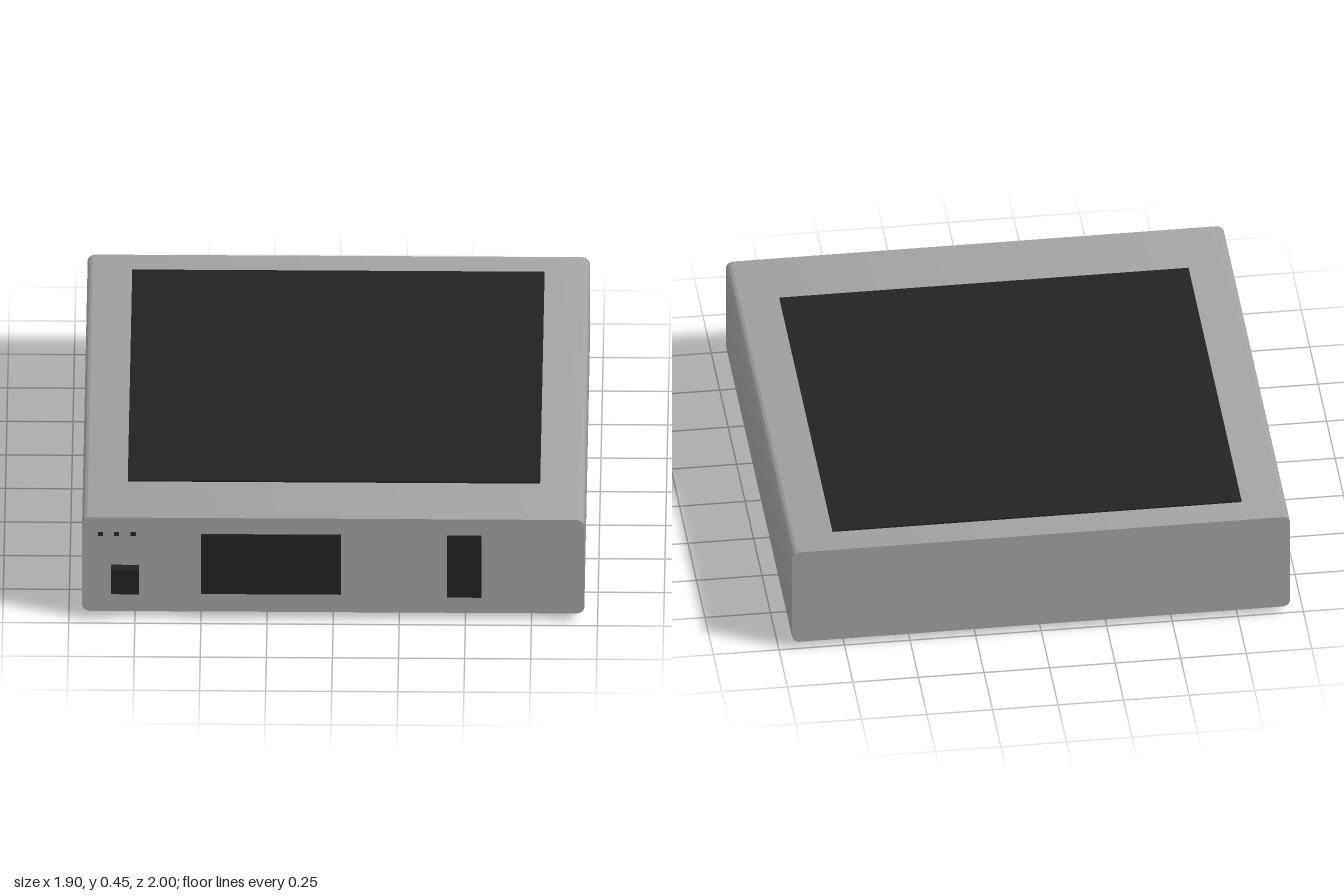
import * as THREE from 'three';
import { toCreasedNormals } from 'three/addons/utils/BufferGeometryUtils.js';

const casing = new THREE.MeshStandardMaterial({ color: 0xa0a1a2 });
casing.name = 'grey casing';
const black = new THREE.MeshStandardMaterial({ color: 0x222222 });
black.name = 'black trim';

const BACK = -1, FRONT = 0.96, BOTTOM = 0.03, TOP = 0.44, HALF = 0.95;

export function createModel() {
  const model = new THREE.Group();
  model.name = 'desktopUnit';

  const add = (name, geometry, material, x = 0, y = 0, z = 0) => {
    const mesh = new THREE.Mesh(geometry, material);
    mesh.name = name;
    mesh.position.set(x, y, z);
    model.add(mesh);
    return mesh;
  };

  // Box given by its extents
  const block = (name, x0, x1, y0, y1, z0, z1) =>
    add(name, new THREE.BoxGeometry(x1 - x0, y1 - y0, z1 - z0), black,
      (x0 + x1) / 2, (y0 + y1) / 2, (z0 + z1) / 2);

  // Casing: rounded cross-section running front to back
  const r = 0.03;
  const s = new THREE.Shape();
  s.moveTo(-HALF + r, BOTTOM);
  s.absarc(HALF - r, BOTTOM + r, r, -Math.PI / 2, 0);
  s.absarc(HALF - r, TOP - r, r, 0, Math.PI / 2);
  s.absarc(-HALF + r, TOP - r, r, Math.PI / 2, Math.PI);
  s.absarc(-HALF + r, BOTTOM + r, r, Math.PI, Math.PI * 1.5);
  const body = new THREE.ExtrudeGeometry(s, {
    depth: FRONT - BACK, bevelEnabled: false, curveSegments: 8,
  });
  add('casing', toCreasedNormals(body, 0.6), casing, 0, 0, BACK);

  // Top panel
  block('topPanel', -0.78, 0.78, TOP - 0.002, TOP + 0.006, -0.88, 0.69);

  // Front details
  block('displayWindow', -0.5, 0.03, 0.11, 0.37, FRONT - 0.002, FRONT + 0.006);
  block('slotPanel', 0.43, 0.56, 0.1, 0.37, FRONT - 0.002, FRONT + 0.006);
  block('powerButton', -0.84, -0.735, 0.127, 0.233, FRONT - 0.002, 1);
  for (const x of [-0.88, -0.82, -0.757]) {
    block('indicatorLight', x - 0.01, x + 0.01, 0.362, 0.376, FRONT - 0.002, FRONT + 0.005);
  }

  // Feet
  const foot = new THREE.CylinderGeometry(0.052, 0.052, 0.032, 32);
  for (const x of [-0.605, 0.605]) {
    for (const z of [-0.76, 0.725]) add('foot', foot, black, x, 0.016, z);
  }

  return model;
}
